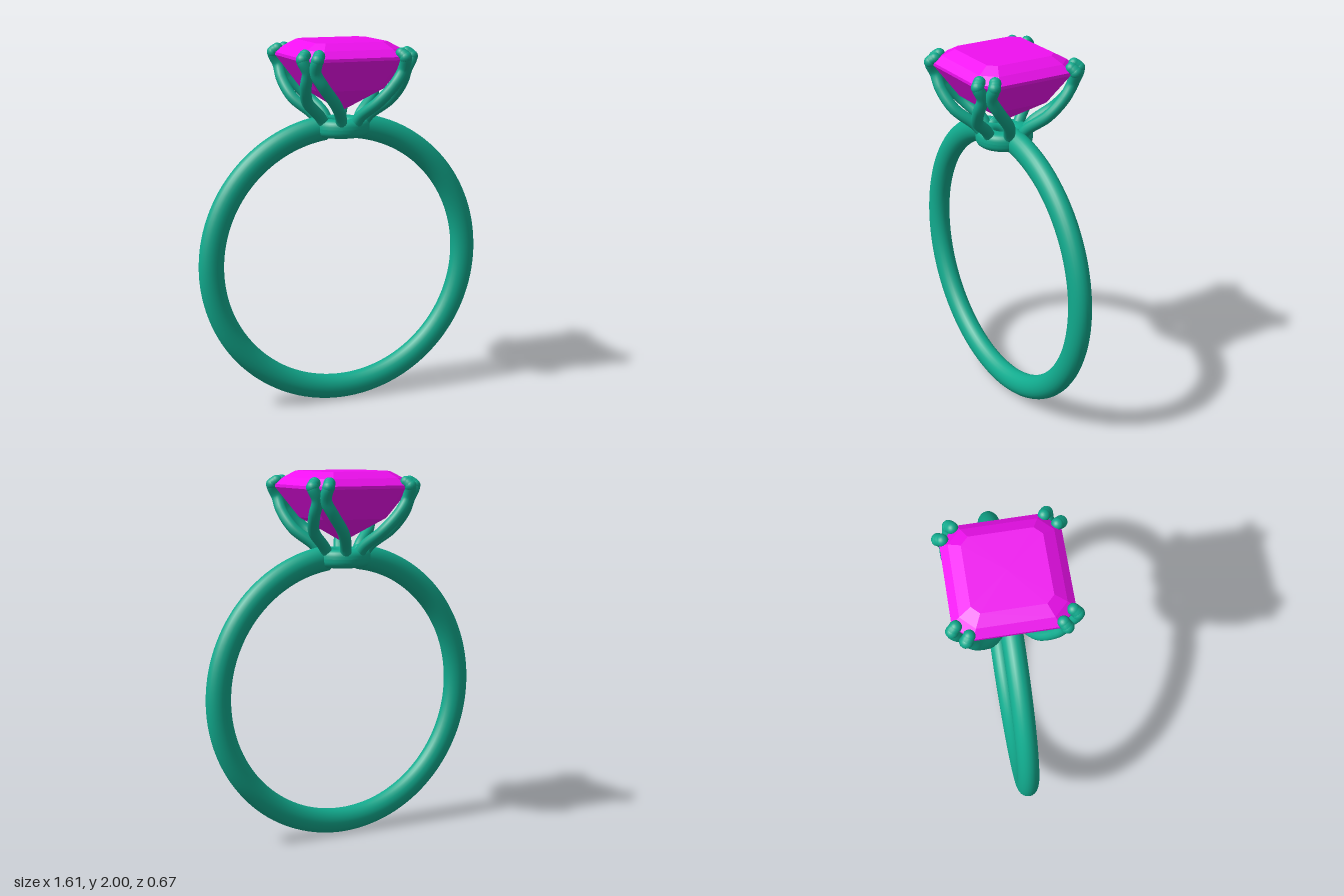
import * as THREE from 'three';

const metal = new THREE.MeshStandardMaterial({ color: 0x11ab8e });
const stone = new THREE.MeshStandardMaterial({ color: 0xf010f0, flatShading: true });

function add(parent, name, geometry, material) {
  const mesh = new THREE.Mesh(geometry, material);
  mesh.name = name;
  parent.add(mesh);
  return mesh;
}

// Square step-cut gem: stacked octagons [half width, corner cut, y], bottom to top
function gemGeometry() {
  const levels = [
    [0, 0, 1.62], [0.19, 0.05, 1.75], [0.3, 0.09, 1.912], [0.3, 0.09, 1.928],
    [0.26, 0.07, 1.965], [0.2, 0.04, 2], [0, 0, 2],
  ];
  const rings = levels.map(([h, c, y]) => {
    const k = h - c;
    return [[h, -k], [h, k], [k, h], [-k, h], [-h, k], [-h, -k], [-k, -h], [k, -h]]
      .map(([x, z]) => [x, y, z]);
  });
  const pos = [];
  for (let j = 0; j < rings.length - 1; j++) {
    for (let i = 0; i < 8; i++) {
      const n = (i + 1) % 8;
      const a = rings[j][i], b = rings[j][n], c = rings[j + 1][n], d = rings[j + 1][i];
      if (j < rings.length - 2) pos.push(...a, ...d, ...c);
      if (j > 0) pos.push(...a, ...c, ...b);
    }
  }
  const g = new THREE.BufferGeometry();
  g.setAttribute('position', new THREE.Float32BufferAttribute(pos, 3));
  g.computeVertexNormals();
  return g;
}

// Prong path as [distance out along the corner, sideways offset, y]
const prongPath = [
  [0.095, 0.045, 1.535], [0.135, 0.06, 1.6], [0.25, 0.08, 1.69], [0.33, 0.05, 1.785],
  [0.365, 0.022, 1.86], [0.385, 0.043, 1.925], [0.36, 0.04, 1.945],
];

function addProng(parent, side) {
  const pts = prongPath.map(([r, t, y]) => new THREE.Vector3(r, y, t * side));
  const curve = new THREE.CatmullRomCurve3(pts, false, 'centripetal');
  add(parent, 'prong', new THREE.TubeGeometry(curve, 48, 0.031, 14), metal);
  // Rounded claw gripping the stone
  const claw = add(parent, 'prongClaw', new THREE.SphereGeometry(0.033, 16, 12), metal);
  claw.position.copy(pts[5]);
  const tip = add(parent, 'prongTip', new THREE.SphereGeometry(0.031, 16, 12), metal);
  tip.position.copy(pts[6]);
}

export function createModel() {
  const model = new THREE.Group();
  model.name = 'ring';

  // Band, open at the top where the collar sits
  const R = 0.737, r = 0.068, cy = 0.805, gap = 0.13;
  const band = new THREE.Group();
  band.name = 'band';
  band.position.y = cy;
  band.scale.z = 0.058 / r;
  model.add(band);
  const hoop = add(band, 'hoop', new THREE.TorusGeometry(R, r, 24, 128, 2 * Math.PI - 2 * gap), metal);
  hoop.rotation.z = Math.PI / 2 + gap;
  for (const s of [-1, 1]) {
    const end = add(band, 'bandEnd', new THREE.SphereGeometry(r, 24, 16), metal);
    end.position.set(s * R * Math.sin(gap), R * Math.cos(gap), 0);
    end.scale.x = 0.5;
  }

  // Collar: a rounded ring with a hole through it
  const profile = [];
  for (let i = 0; i <= 32; i++) {
    const a = (i / 32) * Math.PI * 2;
    const soft = (v) => Math.sign(v) * Math.pow(Math.abs(v), 0.75);
    profile.push(new THREE.Vector2(0.1 + 0.053 * soft(Math.cos(a)), 0.05 * soft(Math.sin(a))));
  }
  const collar = add(model, 'collar', new THREE.LatheGeometry(profile, 48), metal);
  collar.position.y = 1.536;

  // A pair of prongs at each corner of the stone
  for (let i = 0; i < 4; i++) {
    const pair = new THREE.Group();
    pair.name = 'prongPair';
    pair.rotation.y = Math.PI / 4 + (i * Math.PI) / 2;
    for (const side of [-1, 1]) addProng(pair, side);
    model.add(pair);
  }

  add(model, 'gemstone', gemGeometry(), stone);
  return model;
}
